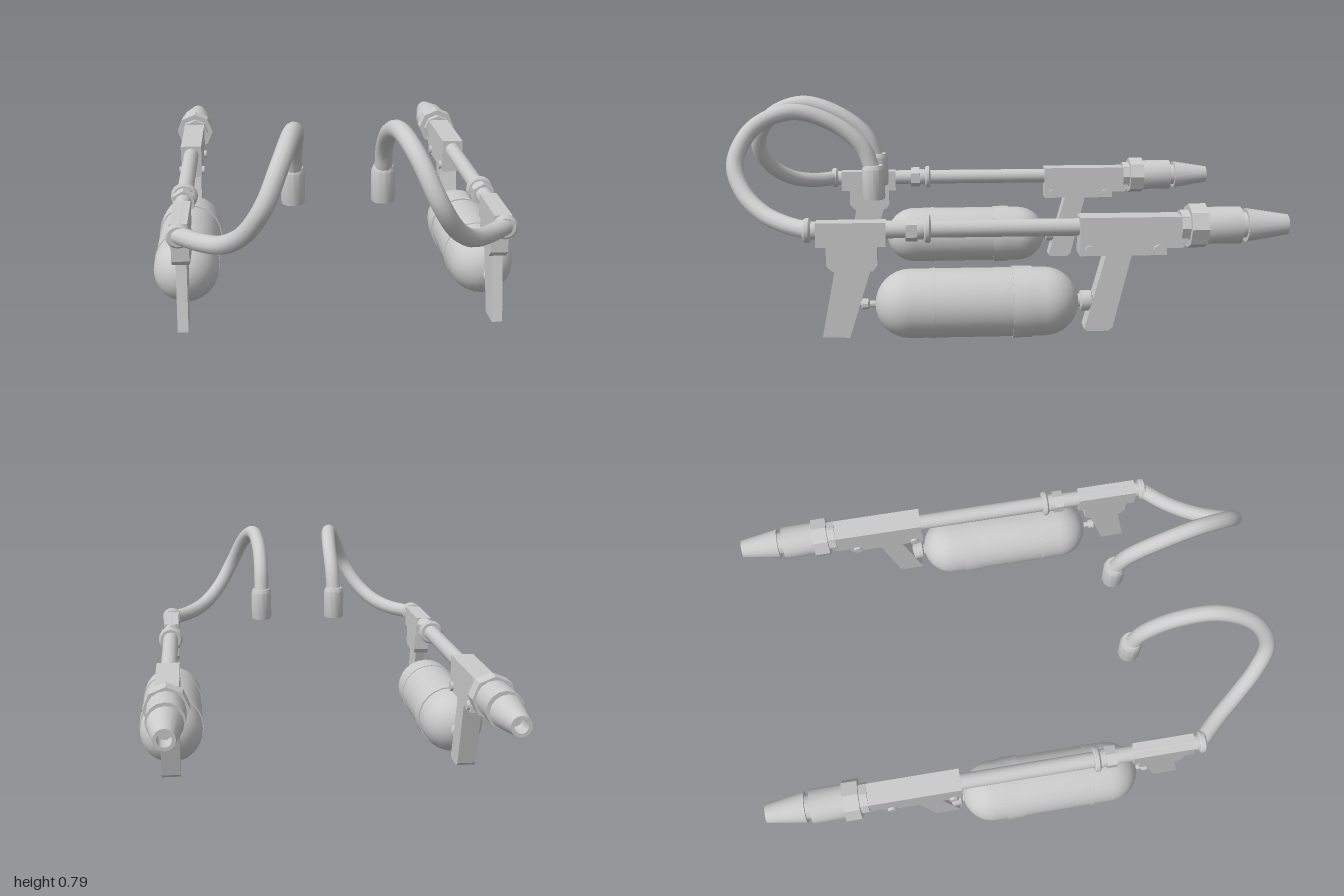
import * as THREE from 'three';
import { toCreasedNormals } from 'three/addons/utils/BufferGeometryUtils.js';

const material = new THREE.MeshStandardMaterial({ color: 0xcccccc });
const PIPE_Y = 0.395, TANK_Y = 0.13, GUN_X = 0.555;

function add(parent, name, geometry) {
  const mesh = new THREE.Mesh(geometry, material);
  mesh.name = name;
  parent.add(mesh);
  return mesh;
}

// Turned part along the z axis; profile is [radius, z], with z falling along the outside
function turned(parent, name, y, sides, profile) {
  const points = profile.map(([r, z]) => new THREE.Vector2(r, -z));
  const geo = new THREE.LatheGeometry(points, sides).rotateX(-Math.PI / 2);
  const mesh = add(parent, name, toCreasedNormals(geo, 0.6));
  mesh.position.y = y;
  return mesh;
}

// Closed ring or drum between two z values
const drum = (parent, name, y, sides, r, z0, z1) =>
  turned(parent, name, y, sides, [[0, z0], [r, z0], [r, z1], [0, z1]]);

// Flat side profile of [z, y] points, extruded across x
function plate(parent, name, width, outline) {
  const shape = new THREE.Shape(outline.map(([z, y]) => new THREE.Vector2(-z, y)));
  const geo = new THREE.ExtrudeGeometry(shape, { depth: width, bevelEnabled: false });
  geo.translate(0, 0, -width / 2).rotateY(Math.PI / 2);
  return add(parent, name, geo);
}

function createSprayer() {
  const gun = new THREE.Group();

  // Long pipe with its couplings
  drum(gun, 'pipe', PIPE_Y, 16, 0.031, 0.68, -0.3);
  const collars = [['pipeCollar', 0.267, 0.05, 0.012], ['hoseCollar', 0.68, 0.043, 0.014]];
  for (const [name, z, r, h] of collars) {
    turned(gun, name, PIPE_Y, 16, [[0, z + h], [r - 0.008, z + h], [r, z + h / 2],
      [r, z - h / 2], [r - 0.008, z - h], [0, z - h]]);
  }
  drum(gun, 'pipeNut', PIPE_Y, 6, 0.044, 0.342, 0.302);
  drum(gun, 'pipeSleeve', PIPE_Y, 16, 0.036, 0.302, 0.28);

  // Front grip
  plate(gun, 'frontGripMount', 0.062, [[0.65, 0.425], [0.65, 0.34], [0.615, 0.34], [0.615, 0.275],
    [0.595, 0.255], [0.455, 0.255], [0.44, 0.275], [0.44, 0.34], [0.41, 0.34], [0.41, 0.425]]);
  plate(gun, 'frontGrip', 0.038, [[0.585, 0.27], [0.635, 0.018], [0.54, 0.014], [0.46, 0.27]]);

  // Rear receiver and grip
  plate(gun, 'receiver', 0.085, [[-0.26, 0.435], [-0.26, 0.3], [-0.565, 0.3], [-0.565, 0.325],
    [-0.62, 0.325], [-0.64, 0.345], [-0.64, 0.435]]);
  plate(gun, 'rearGrip', 0.07, [[-0.355, 0.31], [-0.28, 0.035], [-0.29, 0.027],
    [-0.365, 0.027], [-0.38, 0.04], [-0.445, 0.31]]);
  for (const z of [-0.295, -0.535]) {
    const pin = add(gun, 'receiverPin', new THREE.CylinderGeometry(0.018, 0.018, 0.105, 12).rotateZ(Math.PI / 2));
    pin.position.set(0, 0.32, z);
  }

  // Nozzle with open tip
  drum(gun, 'nozzleFlange', PIPE_Y, 8, 0.058, -0.615, -0.65);
  drum(gun, 'nozzleNut', PIPE_Y, 8, 0.079, -0.645, -0.705);
  drum(gun, 'nozzleBody', PIPE_Y, 16, 0.066, -0.7, -0.83);
  drum(gun, 'nozzleNeck', PIPE_Y, 16, 0.046, -0.825, -0.855);
  turned(gun, 'nozzleCone', PIPE_Y, 16, [[0, -0.85], [0.06, -0.85], [0.036, -1], [0.024, -1],
    [0.024, -0.93], [0, -0.93]]);

  // Tank with domed ends, bands and valves
  const R = 0.121, dome = [];
  for (let i = 0; i <= 8; i++) {
    const a = (i / 8) * Math.PI / 2;
    dome.push([R * Math.sin(a), 0.33 + R * Math.cos(a)]);
  }
  const rear = dome.map(([r, z]) => [r, 0.19 - z]).reverse();
  turned(gun, 'tank', TANK_Y, 24, [...dome, ...rear]);
  drum(gun, 'tankBand', TANK_Y, 24, 0.126, -0.026, -0.095);
  drum(gun, 'tankRing', TANK_Y, 24, 0.124, 0.253, 0.243);
  turned(gun, 'frontValve', TANK_Y, 10, [[0, 0.55], [0.01, 0.55], [0.01, 0.5], [0.02, 0.495], [0.02, 0.475],
    [0.012, 0.47], [0.012, 0.44], [0, 0.44]]);
  turned(gun, 'rearValve', TANK_Y, 12, [[0, -0.24], [0.025, -0.24], [0.025, -0.265], [0.037, -0.27],
    [0.037, -0.305], [0.025, -0.31], [0.025, -0.33], [0, -0.33]]);
  return gun;
}

// Looping hose and end cap; side is +1 or -1
function createHose(side) {
  const hose = new THREE.Group();
  const path = [[0.555, 0.395, 0.675], [0.47, 0.4, 0.765], [0.4, 0.425, 0.85], [0.33, 0.49, 0.93],
    [0.27, 0.59, 0.967], [0.215, 0.71, 0.905], [0.175, 0.765, 0.77], [0.158, 0.72, 0.62],
    [0.157, 0.63, 0.51], [0.16, 0.53, 0.47]].map(([x, y, z]) => new THREE.Vector3(side * x, y, z));
  add(hose, 'hoseTube', new THREE.TubeGeometry(new THREE.CatmullRomCurve3(path), 48, 0.031, 12));
  const capProfile = [[0, 0.43], [0.041, 0.43], [0.043, 0.44], [0.043, 0.545], [0.037, 0.56], [0, 0.56]];
  const capGeo = new THREE.LatheGeometry(capProfile.map((p) => new THREE.Vector2(...p)), 12);
  const cap = add(hose, 'hoseCap', toCreasedNormals(capGeo, 0.6));
  cap.position.set(side * 0.16, 0, 0.47);
  return hose;
}

export function createModel() {
  const model = new THREE.Group();
  model.name = 'twinSprayers';
  for (const [side, label] of [[1, 'left'], [-1, 'right']]) {
    const gun = createSprayer();
    gun.name = label + 'Sprayer';
    gun.position.x = side * GUN_X;
    const hose = createHose(side);
    hose.name = label + 'Hose';
    model.add(gun, hose);
  }
  return model;
}
